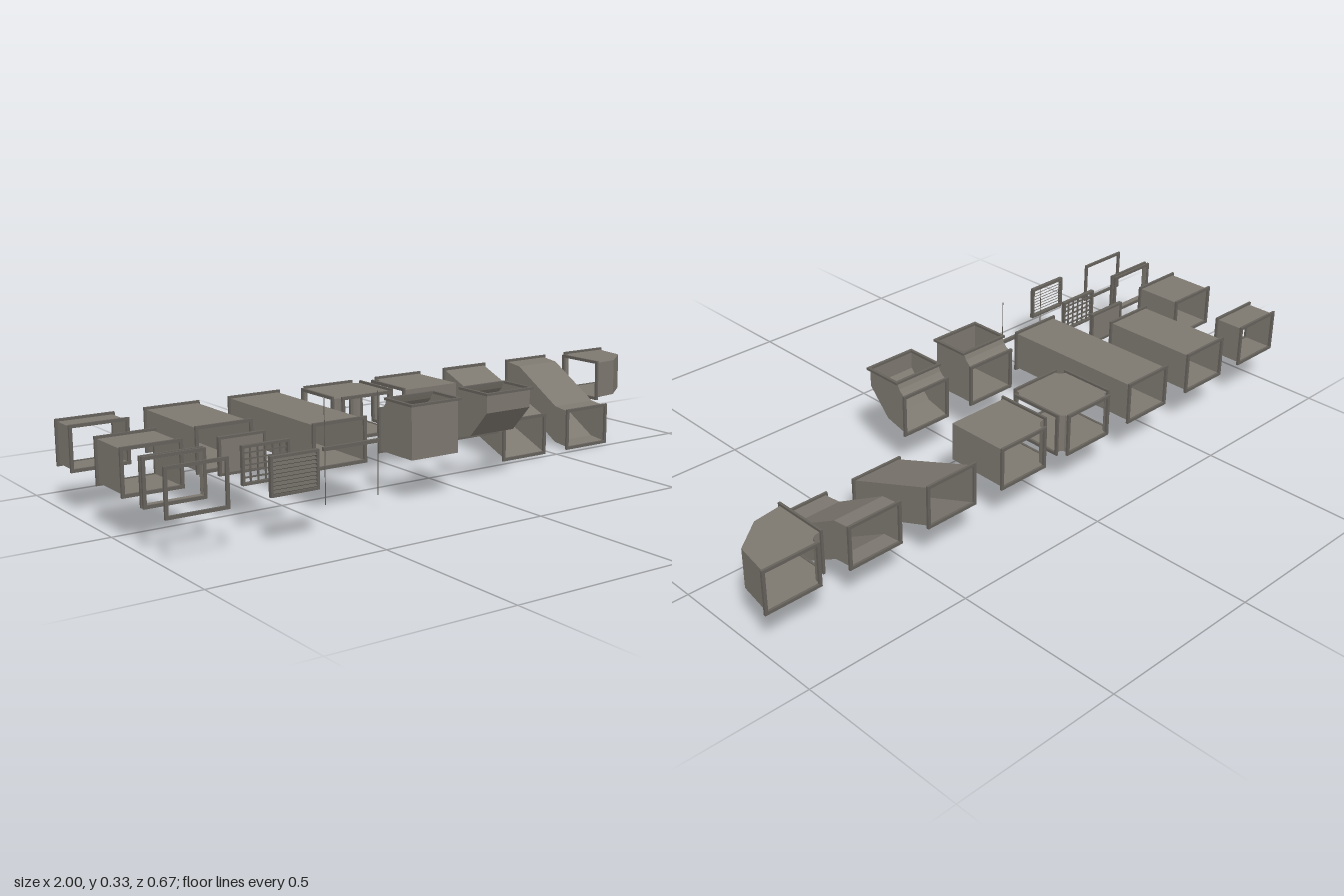
import * as THREE from 'three';

const metal = new THREE.MeshStandardMaterial({ color: 0x7d7870, side: THREE.DoubleSide });
metal.name = 'duct metal';
const trim = new THREE.MeshStandardMaterial({ color: 0x65615b, side: THREE.DoubleSide });
trim.name = 'flange metal';

const W = 0.158, H = 0.116;   // duct opening
const FW = 0.172, FH = 0.13;  // flange outside
const CY = 0.185;             // height of duct centre line

// Grid of points joined row to row; closed rows make a tube
function sheet(rows, closed) {
  const pos = [];
  const n = rows[0].length;
  for (let r = 0; r < rows.length - 1; r++) {
    for (let i = 0; i < (closed ? n : n - 1); i++) {
      const j = (i + 1) % n;
      const a = rows[r][i], b = rows[r][j], c = rows[r + 1][j], d = rows[r + 1][i];
      pos.push(...a, ...b, ...c, ...a, ...c, ...d);
    }
  }
  const geo = new THREE.BufferGeometry();
  geo.setAttribute('position', new THREE.Float32BufferAttribute(pos, 3));
  geo.computeVertexNormals();
  return geo;
}

function add(parent, name, geo, mat, x = 0, y = 0, z = 0) {
  const mesh = new THREE.Mesh(geo, mat);
  mesh.name = name;
  mesh.position.set(x, y, z);
  parent.add(mesh);
  return mesh;
}

function frameGeometry(ow, oh, iw, ih, depth) {
  const rect = (P, w, h) => {
    const p = new P();
    p.moveTo(-w / 2, -h / 2);
    p.lineTo(w / 2, -h / 2);
    p.lineTo(w / 2, h / 2);
    p.lineTo(-w / 2, h / 2);
    p.closePath();
    return p;
  };
  const s = rect(THREE.Shape, ow, oh);
  s.holes.push(rect(THREE.Path, iw, ih));
  return new THREE.ExtrudeGeometry(s, { depth, bevelEnabled: false }).translate(0, 0, -depth / 2);
}
const flangeGeo = frameGeometry(FW, FH, W - 0.004, H - 0.004, 0.007);

function flange(parent, x, y, z, rx = 0, ry = 0) {
  add(parent, 'flange', flangeGeo, trim, x, y, z).rotation.set(rx, ry, 0);
}

function group(root, name, x = 0, y = 0, z = 0) {
  const g = new THREE.Group();
  g.name = name;
  g.position.set(x, y, z);
  root.add(g);
  return g;
}

// Tube whose rings run between paired points of two side profiles
function profileDuct(g, a, b, place, half) {
  const rows = a.map((p, i) => [place(p, -half), place(p, half), place(b[i], half), place(b[i], -half)]);
  add(g, 'ductWall', sheet(rows, true), metal);
}
const sideways = (p, w) => [w, p[1], p[0]];  // profile in z,y
const flat = (p, w) => [p[0], w, p[1]];      // profile in x,z

function straightDuct(root, name, x, z0, z1) {
  const g = group(root, name, x, CY);
  profileDuct(g, [[z1, H / 2], [z0, H / 2]], [[z1, -H / 2], [z0, -H / 2]], sideways, W / 2);
  flange(g, 0, 0, z0 + 0.0035);
  flange(g, 0, 0, z1 - 0.0035);
}

// Turns upward, with either a square or a chamfered heel
function upElbow(root, name, x, rounded) {
  const g = group(root, name, x);
  const inner = [[0.056, 0.243], [0.072, 0.252], [0.082, 0.262], [0.092, 0.283]];
  const outer = rounded
    ? [[0.056, 0.127], [0.135, 0.147], [0.208, 0.225], [0.208, 0.283]]
    : [[0.056, 0.127], [0.208, 0.127], [0.208, 0.127], [0.208, 0.283]];
  profileDuct(g, inner, outer, sideways, W / 2);
  flange(g, 0, CY, 0.0575);
  flange(g, 0, 0.28, 0.151, Math.PI / 2);
}

// Turns to the right, with either a square or a chamfered heel
function sideElbow(root, name, x, rounded) {
  const g = group(root, name, x, CY);
  const inner = [[-0.079, -0.336], [-0.084, -0.312], [-0.098, -0.298], [-0.122, -0.294]];
  const outer = rounded
    ? [[0.079, -0.336], [0.06, -0.22], [-0.03, -0.148], [-0.122, -0.136]]
    : [[0.079, -0.336], [0.079, -0.136], [0.079, -0.136], [-0.122, -0.136]];
  profileDuct(g, inner, outer, flat, H / 2);
  flange(g, 0, 0, -0.3335);
  flange(g, -0.12, 0, -0.215, 0, Math.PI / 2);
}

// Steps down towards the front
function offsetDuct(root, name, x, path) {
  const g = group(root, name, x);
  const shift = (d) => path.map(([z, y]) => [z, y + d]);
  profileDuct(g, shift(H / 2), shift(-H / 2), sideways, W / 2);
  flange(g, 0, path[0][1], path[0][0]);
  const end = path[path.length - 1];
  flange(g, 0, end[1], end[0]);
}

function crossJunction(root, x, z) {
  const g = group(root, 'crossJunction', x, CY, z);
  const corner = [[0.104, 0.079], [0.09, 0.082], [0.082, 0.09], [0.079, 0.104]];
  const outline = [];
  for (let k = 0; k < 4; k++) {
    const c = Math.round(Math.cos(k * Math.PI / 2)), s = Math.round(Math.sin(k * Math.PI / 2));
    const pts = corner.map(([u, v]) => [u * c - v * s, u * s + v * c]);
    outline.push(...pts.map((p) => new THREE.Vector2(...p)));
    const rows = [-H / 2, H / 2].map((y) => pts.map(([u, v]) => [u, y, v]));
    add(g, 'cornerWall', sheet(rows, false), metal);
    flange(g, c * 0.104, 0, s * 0.104, 0, c ? Math.PI / 2 : 0);
  }
  // floor and roof
  for (const d of [-1, 1]) {
    const plate = new THREE.ShapeGeometry(new THREE.Shape(outline)).rotateX(-d * Math.PI / 2);
    add(g, d > 0 ? 'roof' : 'floor', plate, metal, 0, d * H / 2, 0);
  }
}

function vent(root, name, z, kind) {
  const g = group(root, name, -0.655, CY, z);
  const w = 0.14, h = 0.104;
  add(g, 'ventFrame', frameGeometry(w, h, w - 0.014, h - 0.014, 0.012), trim);
  if (kind === 'panel') add(g, 'panel', new THREE.BoxGeometry(w - 0.014, h - 0.014, 0.004), metal);
  if (kind === 'slats') {
    for (let i = 0; i < 9; i++) {
      const slat = add(g, 'slat', new THREE.BoxGeometry(w - 0.014, 0.002, 0.012), trim, 0, (i - 4) * 0.01, 0);
      slat.rotation.x = 0.6;
    }
  }
  if (kind === 'grille') {
    for (let i = -2; i <= 2; i++) {
      add(g, 'uprightBar', new THREE.BoxGeometry(0.004, h - 0.014, 0.004), trim, i * 0.022, 0, 0);
      add(g, 'crossBar', new THREE.BoxGeometry(w - 0.014, 0.004, 0.004), trim, 0, i * 0.016, 0);
    }
  }
}

export function createModel() {
  const root = new THREE.Group();
  root.name = 'ductKit';

  // Straight lengths
  straightDuct(root, 'shortDuct', -0.915, -0.337, -0.237);
  straightDuct(root, 'mediumDuct', -0.915, -0.08, 0.078);
  straightDuct(root, 'longDuct', -0.655, -0.337, -0.025);
  straightDuct(root, 'extraLongDuct', -0.39, -0.337, 0.128);

  // Joining collars
  const collar = group(root, 'doubleCollar', -0.915, CY, 0.19);
  flange(collar, 0, 0, -0.007);
  flange(collar, 0, 0, 0.007);
  add(collar, 'collarWall', frameGeometry(W, H, W - 0.006, H - 0.006, 0.016), metal);
  flange(group(root, 'singleCollar', -0.915, CY, 0.313), 0, 0, 0);

  // Vent covers
  vent(root, 'blankCover', 0.065, 'panel');
  vent(root, 'grilleCover', 0.187, 'grille');
  vent(root, 'slattedCover', 0.327, 'slats');

  // Hanger: bar on two thin rods
  const hanger = group(root, 'hanger', -0.392, CY, 0.185);
  add(hanger, 'hangerBar', new THREE.BoxGeometry(0.178, 0.01, 0.01), trim, 0, 0.008, 0);
  for (const s of [-1, 1]) {
    add(hanger, 'hangerRod', new THREE.CylinderGeometry(0.0012, 0.0012, 0.287, 6), trim, s * 0.084, 0, 0);
  }

  // Junction and bends
  crossJunction(root, -0.133, -0.23);
  upElbow(root, 'squareUpElbow', -0.133, false);
  upElbow(root, 'roundedUpElbow', 0.127, true);
  sideElbow(root, 'squareSideElbow', 0.125, false);
  sideElbow(root, 'roundedSideElbow', 0.909, true);

  // Stepped lengths
  offsetDuct(root, 'straightOffset', 0.39, [[-0.029, 0.067], [-0.333, CY]]);
  offsetDuct(root, 'curvedOffset', 0.65,
    [[-0.029, 0.067], [-0.09, 0.074], [-0.181, 0.126], [-0.272, 0.178], [-0.333, CY]]);

  return root;
}
